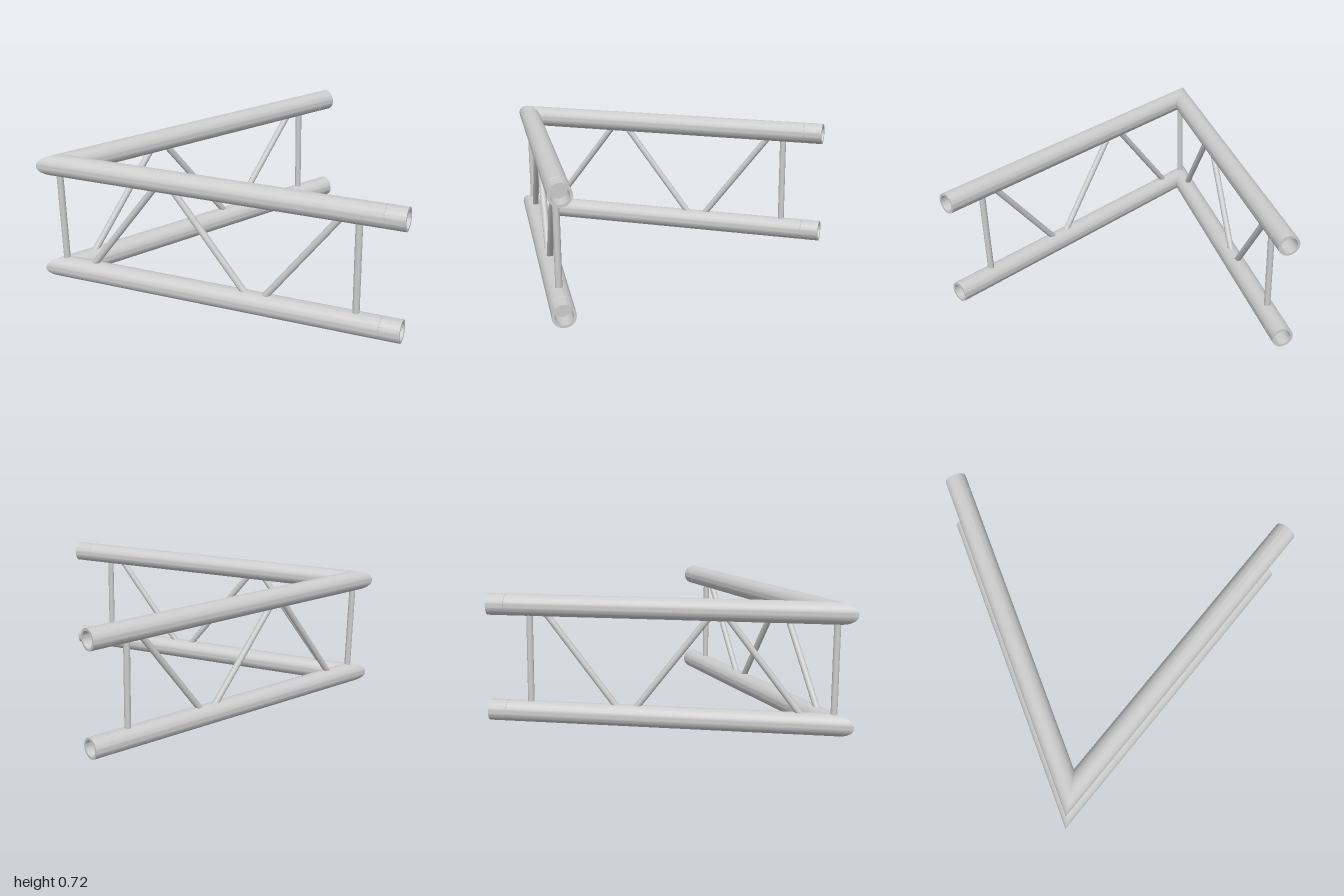
import * as THREE from 'three';
import { toCreasedNormals } from 'three/addons/utils/BufferGeometryUtils.js';

const R = 0.06;          // chord tube radius
const BORE = 0.046;      // socket radius at the open ends
const LENGTH = 1.896;    // corner axis to open end
const LOW = R, HIGH = 0.66;
const BRACE_R = 0.018;
const CORNER = [-0.896, 0, 0.805];
const ANGLE = Math.PI / 3;

const material = new THREE.MeshStandardMaterial({ color: 0xcccccc });

// Chord tube along +x: mitred at the corner, seam and open socket at the far end
function chordGeometry(side) {
  const seam = LENGTH - 0.105;
  const profile = [
    [R, 0], [R, seam - 0.003], [R - 0.002, seam - 0.002], [R - 0.002, seam + 0.002],
    [R, seam + 0.003], [R, LENGTH], [BORE, LENGTH], [BORE, seam], [0, seam],
  ].map(([r, y]) => new THREE.Vector2(r, y));
  const geometry = new THREE.LatheGeometry(profile, 48);
  geometry.rotateZ(-Math.PI / 2);
  // slide the first ring onto the mitre plane
  const p = geometry.attributes.position;
  const slope = 1 / Math.tan(ANGLE / 2);
  for (let i = 0; i < p.count; i++) {
    if (p.getX(i) < 1e-4) p.setX(i, -side * slope * p.getZ(i));
  }
  return toCreasedNormals(geometry, Math.PI / 6);
}

// Round bar between two points in the plane of an arm
function brace(name, x0, y0, x1, y1) {
  const a = new THREE.Vector3(x0, y0, 0);
  const b = new THREE.Vector3(x1, y1, 0);
  const mesh = new THREE.Mesh(
    new THREE.CylinderGeometry(BRACE_R, BRACE_R, a.distanceTo(b), 24), material);
  mesh.name = name;
  mesh.position.copy(a).add(b).multiplyScalar(0.5);
  mesh.quaternion.setFromUnitVectors(
    new THREE.Vector3(0, 1, 0), b.sub(a).normalize());
  return mesh;
}

// One ladder arm; side is the local z sign of its outer face at the corner
function createArm(name, side) {
  const arm = new THREE.Group();
  arm.name = name;
  const geometry = chordGeometry(side);
  for (const [label, y] of [['lowerChord', LOW], ['upperChord', HIGH]]) {
    const chord = new THREE.Mesh(geometry, material);
    chord.name = label;
    chord.position.y = y;
    arm.add(chord);
  }
  arm.add(brace('endPost', 1.66, LOW, 1.66, HIGH));
  // zigzag diagonals, running into the chord centres
  [[0.137, 0.601], [1.101, 0.639], [1.137, 1.601]].forEach(([bottom, top], i) => {
    arm.add(brace('diagonal' + (i + 1), bottom, LOW, top, HIGH));
  });
  return arm;
}

export function createModel() {
  const model = new THREE.Group();
  model.name = 'cornerTruss';

  const frontArm = createArm('frontArm', 1);
  const backArm = createArm('backArm', -1);
  backArm.rotation.y = ANGLE;
  const cornerPost = brace('cornerPost', 0, LOW, 0, HIGH);

  const truss = new THREE.Group();
  truss.name = 'truss';
  truss.add(frontArm, backArm, cornerPost);
  truss.position.set(...CORNER);
  model.add(truss);
  return model;
}
